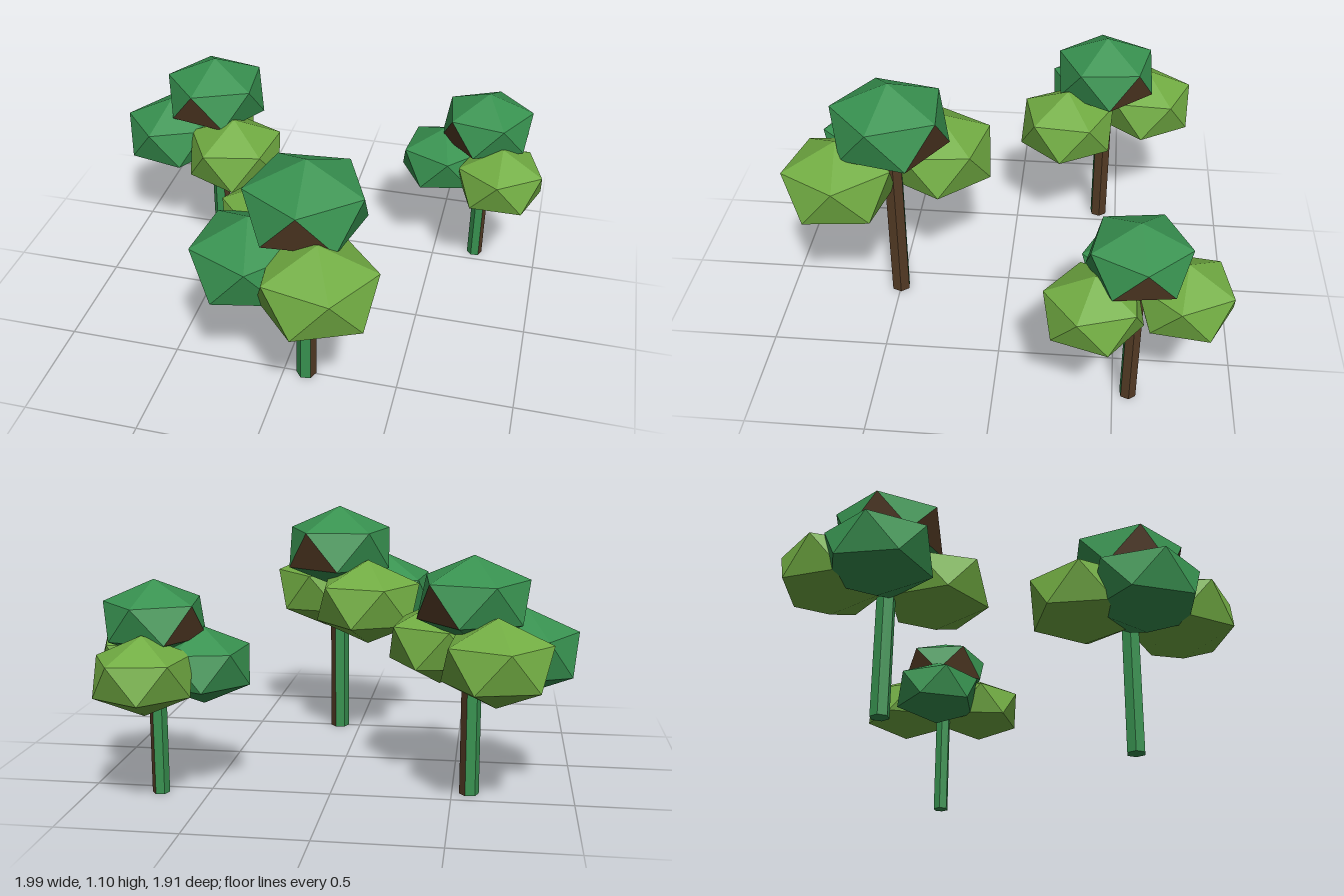
import * as THREE from 'three';

const mat = (name, color) => Object.assign(new THREE.MeshStandardMaterial({ color }), { name });

// Squashed, pole-up icosahedron; "angle" is the heading (x towards z, degrees) of an upper ring corner.
// Material slot 1 is used for the bare patches, listed by upper ring corner.
function crownGeometry(ringRadius, halfHeight, angle, patches = []) {
  const ring = (deg, side) => {
    const a = THREE.MathUtils.degToRad(angle + deg);
    return [Math.cos(a) * ringRadius, side * halfHeight * 0.447, Math.sin(a) * ringRadius];
  };
  const top = [0, halfHeight, 0], bottom = [0, -halfHeight, 0];
  const points = [];
  const geometry = new THREE.BufferGeometry();
  const face = (a, b, c, slot = 0) => {
    geometry.addGroup(points.length / 3, 3, slot);
    points.push(...a, ...b, ...c);
  };
  for (let k = 0; k < 5; k++) {
    const d = k * 72;
    const upper = ring(d, 1), nextUpper = ring(d + 72, 1);
    const lower = ring(d + 36, -1), prevLower = ring(d - 36, -1);
    face(top, nextUpper, upper);
    face(upper, lower, prevLower, patches.includes(k) ? 1 : 0);
    face(lower, upper, nextUpper);
    face(bottom, prevLower, lower);
  }
  geometry.setAttribute('position', new THREE.Float32BufferAttribute(points, 3));
  geometry.computeVertexNormals();
  return geometry;
}

// Six-sided trunk with two bare bark sides
function trunkGeometry(radius, height) {
  const geometry = new THREE.CylinderGeometry(radius, radius, height, 6).toNonIndexed();
  geometry.rotateY(THREE.MathUtils.degToRad(-22));
  geometry.translate(0, height / 2, 0);
  geometry.computeVertexNormals();
  geometry.clearGroups();
  geometry.addGroup(0, 6, 0);
  geometry.addGroup(6, 12, 1);
  geometry.addGroup(18, geometry.attributes.position.count - 18, 0);
  return geometry;
}

// Each tree: ground position, top clump, and three side clumps as [x, z, angle]
const TREES = [
  {
    name: 'frontTree', x: 0.1, z: 0.5, trunk: 0.044, ring: 0.253, half: 0.2,
    topY: 0.9, sideY: 0.665, topAngle: 157,
    light: [0.2, 0.72, 66], dark: [-0.11, 0.6, 150], back: [-0.06, 0.32, 30],
  },
  {
    name: 'rightTree', x: -0.572, z: -0.412, trunk: 0.041, ring: 0.228, half: 0.18,
    topY: 0.82, sideY: 0.605, topAngle: 174,
    light: [-0.433, -0.24, 42], dark: [-0.783, -0.37, 174], back: [-0.672, -0.61, 184],
  },
  {
    name: 'leftTree', x: 0.703, z: -0.565, trunk: 0.036, ring: 0.207, half: 0.162,
    topY: 0.738, sideY: 0.547, topAngle: 208,
    light: [0.798, -0.402, 18], dark: [0.515, -0.54, 150], back: [0.698, -0.76, 8],
  },
];

export function createModel() {
  const darkGreen = mat('dark green leaf', 0x389250);
  const lightGreen = mat('light green leaf', 0x72ad43);
  const brown = mat('brown bark', 0x543b25);
  const model = new THREE.Group();
  model.name = 'trees';

  for (const t of TREES) {
    const tree = new THREE.Group();
    tree.name = t.name;
    const add = (name, geometry, material, x, y, z) => {
      const mesh = new THREE.Mesh(geometry, material);
      mesh.name = name;
      mesh.position.set(x, y, z);
      tree.add(mesh);
    };

    add('trunk', trunkGeometry(t.trunk, t.topY - t.half * 0.6), [darkGreen, brown], t.x, 0, t.z);

    // Top clump with its three bare patches
    add('topFoliage', crownGeometry(t.ring, t.half, t.topAngle, [0, 2, 4]),
      [darkGreen, brown], t.x, t.topY, t.z);

    // Side clumps
    const sides = [
      ['frontFoliage', t.light, lightGreen],
      ['sideFoliage', t.dark, darkGreen],
      ['backFoliage', t.back, lightGreen],
    ];
    for (const [name, [x, z, angle], material] of sides) {
      add(name, crownGeometry(t.ring * 0.96, t.half, angle), [material], x, t.sideY, z);
    }
    model.add(tree);
  }
  return model;
}
